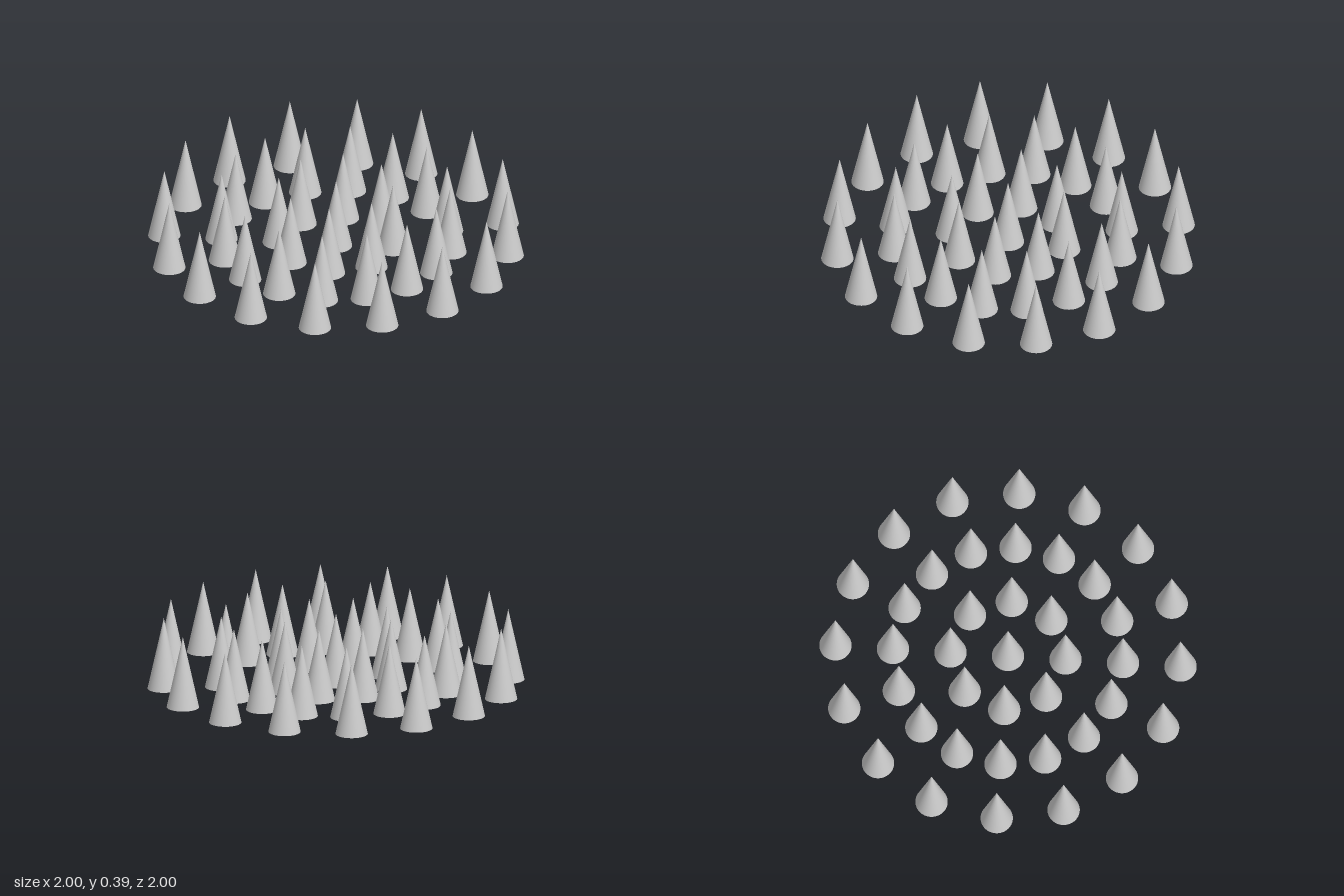
import * as THREE from 'three';

const RADIUS = 0.0857;
const HEIGHT = 0.387;
const SPACING = 0.3048;

export function createModel() {
  const model = new THREE.Group();
  model.name = 'coneField';
  const material = new THREE.MeshStandardMaterial({ color: 0xcccccc });
  const geometry = new THREE.ConeGeometry(RADIUS, HEIGHT, 48);
  geometry.translate(0, HEIGHT / 2, 0); // base on the ground

  // One central cone, then concentric rings of 8, 16 and 16
  [1, 8, 16, 16].forEach((count, ring) => {
    const group = new THREE.Group();
    group.name = ring === 0 ? 'centre' : `ring${ring}`;
    for (let i = 0; i < count; i++) {
      const angle = (i / count) * Math.PI * 2;
      const cone = new THREE.Mesh(geometry, material);
      cone.name = 'cone';
      cone.position.set(Math.cos(angle) * ring * SPACING, 0, Math.sin(angle) * ring * SPACING);
      group.add(cone);
    }
    model.add(group);
  });

  return model;
}
